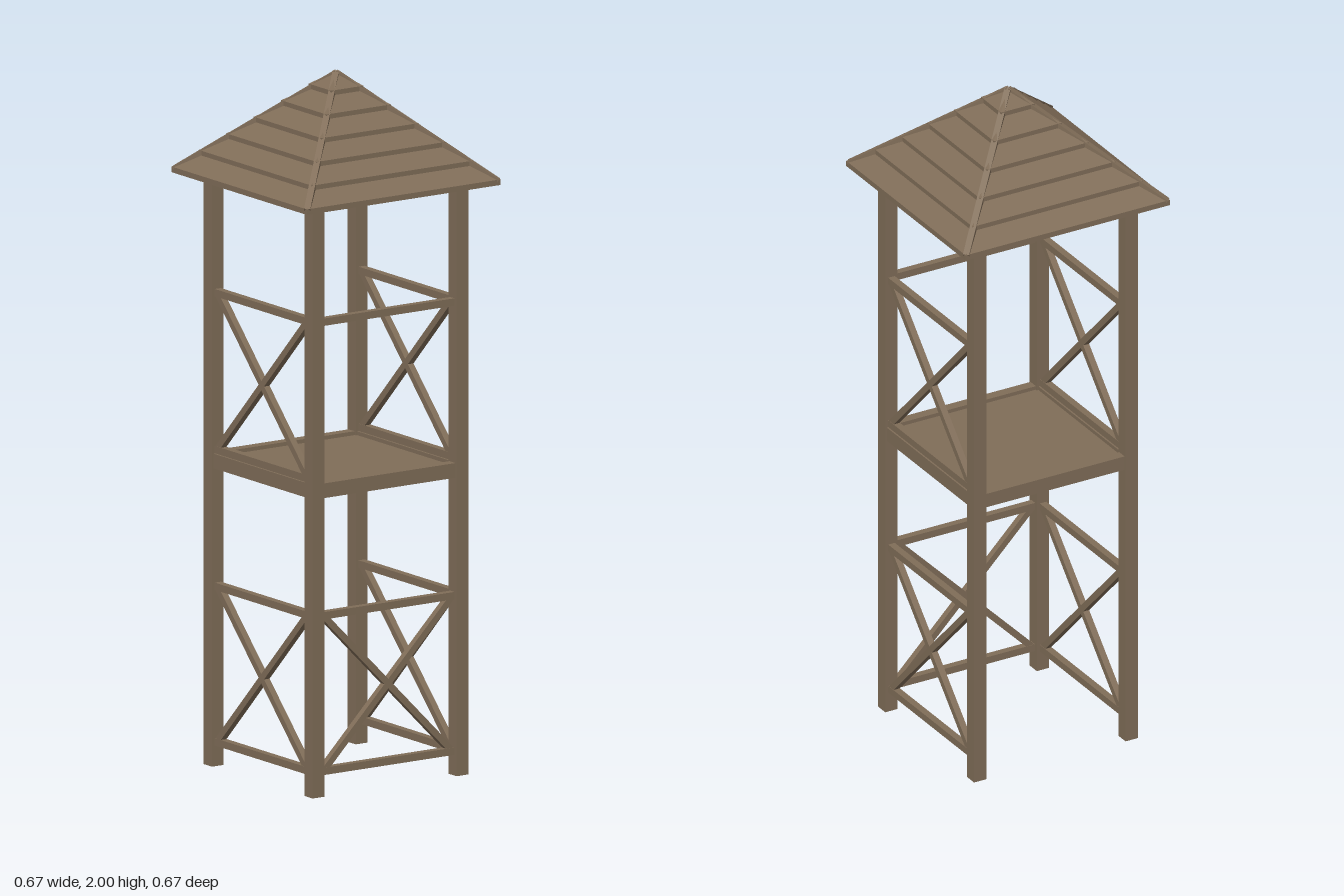
import * as THREE from 'three';

const P = 0.245;          // post line distance from the centre
const RAIL = 0.021;

export function createModel() {
  const wood = new THREE.MeshStandardMaterial({ color: 0x806d58 });
  wood.name = 'weatheredWood';
  const tower = new THREE.Group();
  tower.name = 'watchtower';

  const box = (parent, name, w, h, d, x, y, z) => {
    const m = new THREE.Mesh(new THREE.BoxGeometry(w, h, d), wood);
    m.name = name;
    m.position.set(x, y, z);
    parent.add(m);
    return m;
  };

  // Square beam running between two points, kept upright
  const beam = (parent, name, a, b, w, h) => {
    const mid = a.clone().add(b).multiplyScalar(0.5);
    const m = box(parent, name, w, h, a.distanceTo(b), mid.x, mid.y, mid.z);
    m.lookAt(b);
    return m;
  };

  // Four corner posts
  for (const x of [-P, P]) {
    for (const z of [-P, P]) box(tower, 'cornerPost', 0.04, 1.75, 0.04, x, 0.875, z);
  }

  // Railing panel on one side: rails at the given heights, optional cross braces
  const panel = (name, turn, heights, crossed) => {
    const g = new THREE.Group();
    g.name = name;
    for (const y of heights) box(g, 'rail', 0.46, RAIL, RAIL, 0, y, P);
    if (crossed) {
      const [y0, y1] = heights;
      for (const s of [-1, 1]) {
        beam(g, 'crossBrace', new THREE.Vector3(-0.22 * s, y0, P),
          new THREE.Vector3(0.22 * s, y1, P), 0.019, 0.019);
      }
    }
    g.rotation.y = turn * Math.PI / 2;
    tower.add(g);
  };
  const lower = [0.07, 0.515], upper = [0.906, 1.355];
  panel('frontLowerBracing', 0, lower, true);
  panel('frontHandrail', 0, [1.355], false);
  for (const [side, turn] of [['left', 1], ['right', -1]]) {
    panel(side + 'LowerBracing', turn, lower, true);
    panel(side + 'UpperBracing', turn, upper, true);
  }

  // Platform: rim beams around a recessed floor
  for (const s of [-1, 1]) {
    box(tower, 'platformBeam', 0.46, 0.042, 0.03, 0, 0.874, s * P);
    box(tower, 'platformBeam', 0.03, 0.042, 0.46, s * P, 0.874, 0);
  }
  box(tower, 'floor', 0.47, 0.02, 0.47, 0, 0.874, 0);

  // Pyramid roof of overlapping board courses, each a four-sided ring
  const roof = new THREE.Group();
  roof.name = 'roof';
  tower.add(roof);
  const courses = 6, R = 0.33, run = R / courses, rise = 0.0505, base = 1.69;
  for (let i = 0; i < courses; i++) {
    const r0 = R - i * run, r1 = Math.max(0, r0 - run - 0.004);
    const y0 = base + i * rise, lip = 0.016;
    const profile = [
      [r0, y0], [r0, y0 + lip], [r1, y0 + rise + 0.005], [r1, y0 + rise - 0.006], [r0, y0],
    ].map(([r, y]) => new THREE.Vector2(r * Math.SQRT2, y));
    const geo = new THREE.LatheGeometry(profile, 4).rotateY(Math.PI / 4).toNonIndexed();
    geo.computeVertexNormals();
    const course = new THREE.Mesh(geo, wood);
    course.name = 'roofCourse';
    roof.add(course);
  }

  // Hip caps along the four roof corners
  for (const x of [-1, 1]) {
    for (const z of [-1, 1]) {
      beam(roof, 'hipCap', new THREE.Vector3(0.325 * x, 1.701, 0.325 * z),
        new THREE.Vector3(0, 1.994, 0), 0.018, 0.014);
    }
  }
  return tower;
}
